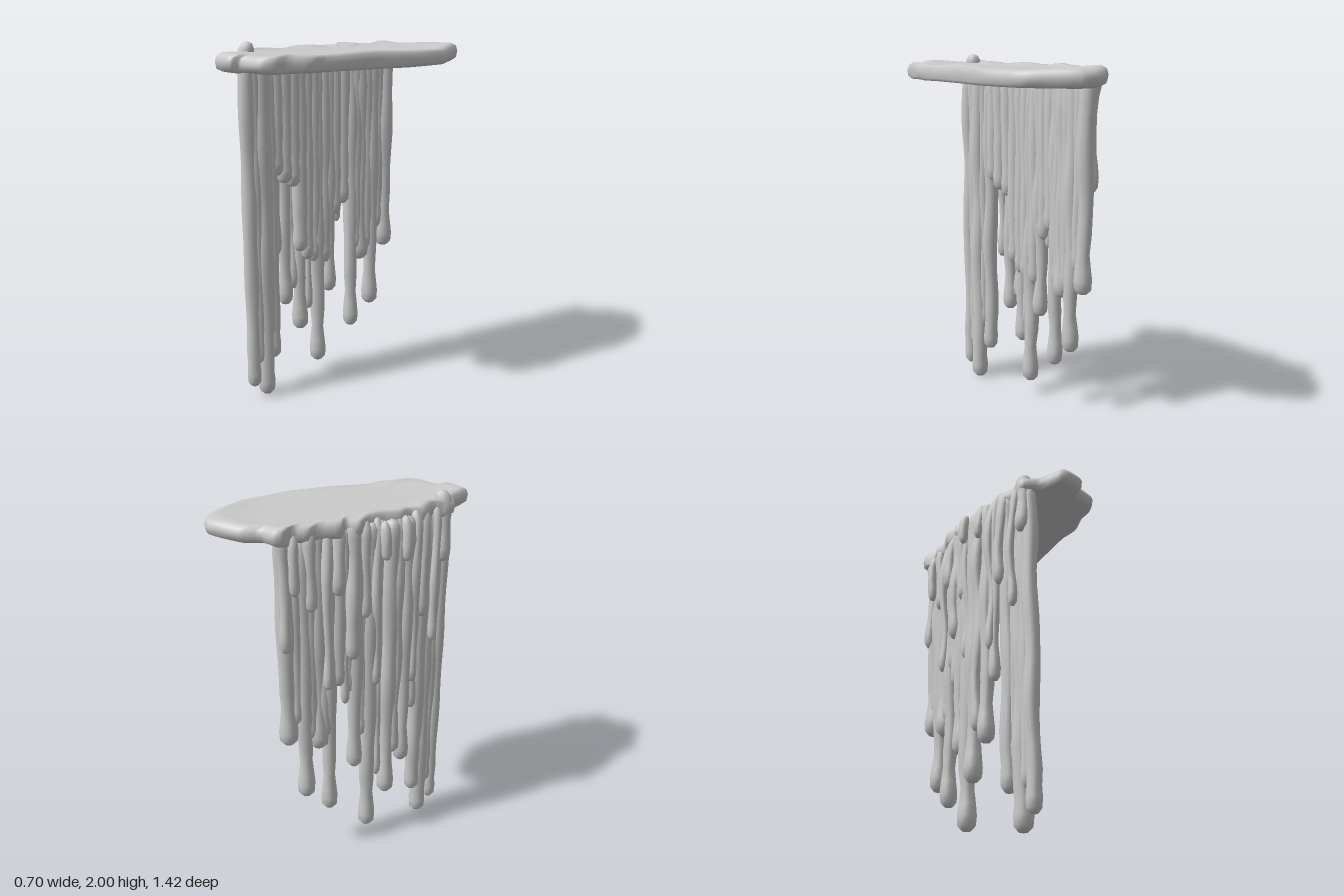
import * as THREE from 'three';
import { mergeVertices } from 'three/addons/utils/BufferGeometryUtils.js';

const material = new THREE.MeshStandardMaterial({ color: 0xcccccc });

// Skin closed rings of equal length, stacked in order
function loft(rings, name) {
  const n = rings[0].length, index = [];
  for (let r = 0; r < rings.length - 1; r++) {
    for (let i = 0; i < n; i++) {
      const a = r * n + i, b = r * n + (i + 1) % n;
      index.push(a, a + n, b, b, a + n, b + n);
    }
  }
  let geo = new THREE.BufferGeometry();
  geo.setAttribute('position', new THREE.Float32BufferAttribute(rings.flat(2), 3));
  geo.setIndex(index);
  geo = mergeVertices(geo, 1e-4);
  geo.computeVertexNormals();
  const mesh = new THREE.Mesh(geo, material);
  mesh.name = name;
  return mesh;
}

// Irregular puddle outline as [x, z]; the -x side is lobed where the runs spill over
const outline = [
  [0.11, -0.71], [0.2, -0.68], [0.29, -0.53], [0.345, -0.43], [0.348, -0.18], [0.3, 0],
  [0.27, 0.15], [0.24, 0.3], [0.24, 0.4], [0.19, 0.5], [0.18, 0.57], [0.14, 0.63],
  [0.01, 0.65], [-0.01, 0.7], [-0.14, 0.7], [-0.19, 0.57], [-0.26, 0.51], [-0.27, 0.46],
  [-0.24, 0.39], [-0.28, 0.3], [-0.25, 0.23], [-0.28, 0.15], [-0.25, 0.06], [-0.25, -0.02],
  [-0.285, -0.1], [-0.24, -0.15], [-0.275, -0.2], [-0.225, -0.29], [-0.235, -0.36],
  [-0.205, -0.42], [-0.23, -0.49], [-0.21, -0.53], [-0.12, -0.55], [-0.06, -0.635],
];

// Puddle with a rounded, slightly raised rim: [scale, y]
function puddle() {
  const curve = new THREE.CatmullRomCurve3(
    outline.map(([x, z]) => new THREE.Vector3(x, 0, z)), true, 'catmullrom', 0.25);
  const pts = Array.from({ length: 102 }, (_, i) => curve.getPoint(i / 102));
  const levels = [[0, 1.885], [0.86, 1.88], [0.95, 1.868], [0.99, 1.882], [1, 1.915],
    [0.985, 1.942], [0.94, 1.957], [0.86, 1.953], [0.7, 1.943], [0, 1.945]];
  return loft(levels.map(([s, y], k) => pts.map((p, i) => {
    const bump = k > 3 && k < 8 ? 0.005 * Math.sin(i * 0.5) : 0;
    return [0.03 + (p.x - 0.03) * s, y + bump, p.z * s];
  })), 'puddle');
}

// Hanging strand: bulb at the bottom, narrow neck, rounded top that can lean over the rim
function strand(name, { x, z, bottom, r, top, neck, seed, full = 1, lean = 0, wobble = 0.06 }) {
  const length = top - bottom;
  const steps = [[0, 0], [0.006, 0.5], [0.03, 0.92], [0.08, 1], [0.14, 0.88], [0.22, neck + 0.08]]
    .filter(([h]) => h < length - 0.12);
  for (let h = 0.32; h < length - 0.12; h += 0.09) {
    const fill = Math.min(1, h / 0.7);
    steps.push([h, neck + (full - neck) * fill + wobble * Math.sin(h * 13 + seed * 2.3)]);
  }
  steps.push([length - 0.09, full], [length - 0.04, 0.95 * full], [length - 0.012, 0.6], [length, 0]);
  return loft(steps.map(([h, s]) => {
    const shift = lean * Math.max(0, 1 - (length - h) / 0.16) ** 2;
    const sway = 0.07 * wobble * Math.sin(h * 9 + seed) * Math.min(1, h * 4);
    return Array.from({ length: 10 }, (_, i) => {
      const a = i / 10 * Math.PI * 2;
      return [x + shift + sway + Math.cos(a) * r * s, bottom + h, z + sway + Math.sin(a) * r * s];
    });
  }), name);
}

export function createModel() {
  const group = new THREE.Group();
  group.name = 'drippingPuddle';
  group.add(puddle());

  // Long drips: [z, x, bottom, radius, fullness of the upper part]
  const drips = [
    [0.482, -0.205, 0.07, 0.041, 1], [0.4, -0.2, 0, 0.05, 0.95], [0.33, -0.225, 0.2, 0.045, 1],
    [0.265, -0.265, 0.8, 0.032, 1], [0.205, -0.27, 0.48, 0.046, 0.9], [0.1, -0.27, 0.3, 0.05, 0.95],
    [0.05, -0.25, 0.42, 0.026, 1], [0, -0.23, 0.08, 0.05, 1], [-0.08, -0.22, 0.51, 0.046, 1.05],
    [-0.14, -0.22, 0.93, 0.026, 1], [-0.222, -0.185, 0.26, 0.047, 0.95], [-0.28, -0.175, 0.68, 0.057, 0.85],
    [-0.355, -0.16, 0.38, 0.05, 0.95], [-0.448, -0.145, 0.74, 0.053, 0.92],
  ];
  drips.forEach(([z, x, bottom, r, full], seed) => group.add(strand('longDrip', {
    x, z, bottom, r, seed, full, top: 1.92, neck: bottom < 0.21 && z > 0.3 ? 0.88 : 0.62,
  })));

  // Filler strands that merge the drips into a ribbed curtain: [z, x, bottom, radius]
  const fillers = [
    [0.44, -0.205, 0.2, 0.036], [0.365, -0.21, 0.35, 0.036], [0.29, -0.215, 1.27, 0.042],
    [0.235, -0.215, 1.22, 0.045], [0.175, -0.22, 1.19, 0.045], [0.125, -0.225, 0.8, 0.045],
    [0.075, -0.225, 0.74, 0.042], [0.03, -0.22, 0.72, 0.04], [-0.04, -0.215, 0.7, 0.042],
    [-0.115, -0.205, 0.98, 0.04], [-0.17, -0.2, 1.04, 0.045], [-0.25, -0.18, 0.74, 0.045],
    [-0.32, -0.165, 0.74, 0.042], [-0.4, -0.155, 0.86, 0.036],
  ];
  fillers.forEach(([z, x, bottom, r], i) => group.add(strand('curtainStrand', {
    x, z, bottom, r, seed: i + 5, neck: 0.9, full: 1.05, top: 1.92, wobble: 0.03,
  })));

  // Short runs spilling over the rim on the outer face: [z, x, bottom, radius, top]
  const runs = [
    [0.46, -0.235, 1.62, 0.046, 2], [0.4, -0.26, 1.18, 0.026, 1.935], [0.31, -0.27, 1.35, 0.036, 1.94],
    [0.25, -0.285, 0.98, 0.028, 1.94], [0.17, -0.312, 1.7, 0.03, 1.93], [0.14, -0.28, 0.56, 0.036, 1.94],
    [0.04, -0.318, 1.73, 0.028, 1.93], [0.02, -0.27, 1.02, 0.028, 1.94], [-0.04, -0.255, 1.42, 0.034, 1.94],
    [-0.11, -0.25, 1.2, 0.042, 1.945], [-0.19, -0.24, 1.57, 0.038, 1.945], [-0.25, -0.23, 1.05, 0.028, 1.935],
    [-0.33, -0.205, 1.5, 0.034, 1.94], [-0.42, -0.205, 1.6, 0.028, 1.93], [-0.465, -0.18, 1.3, 0.034, 1.935],
  ];
  runs.forEach(([z, x, bottom, r, top], i) => group.add(strand('shortRun', {
    x, z, bottom, r, top, seed: i * 1.7, neck: 0.7, lean: 0.025, wobble: 0.14,
  })));

  return group;
}
